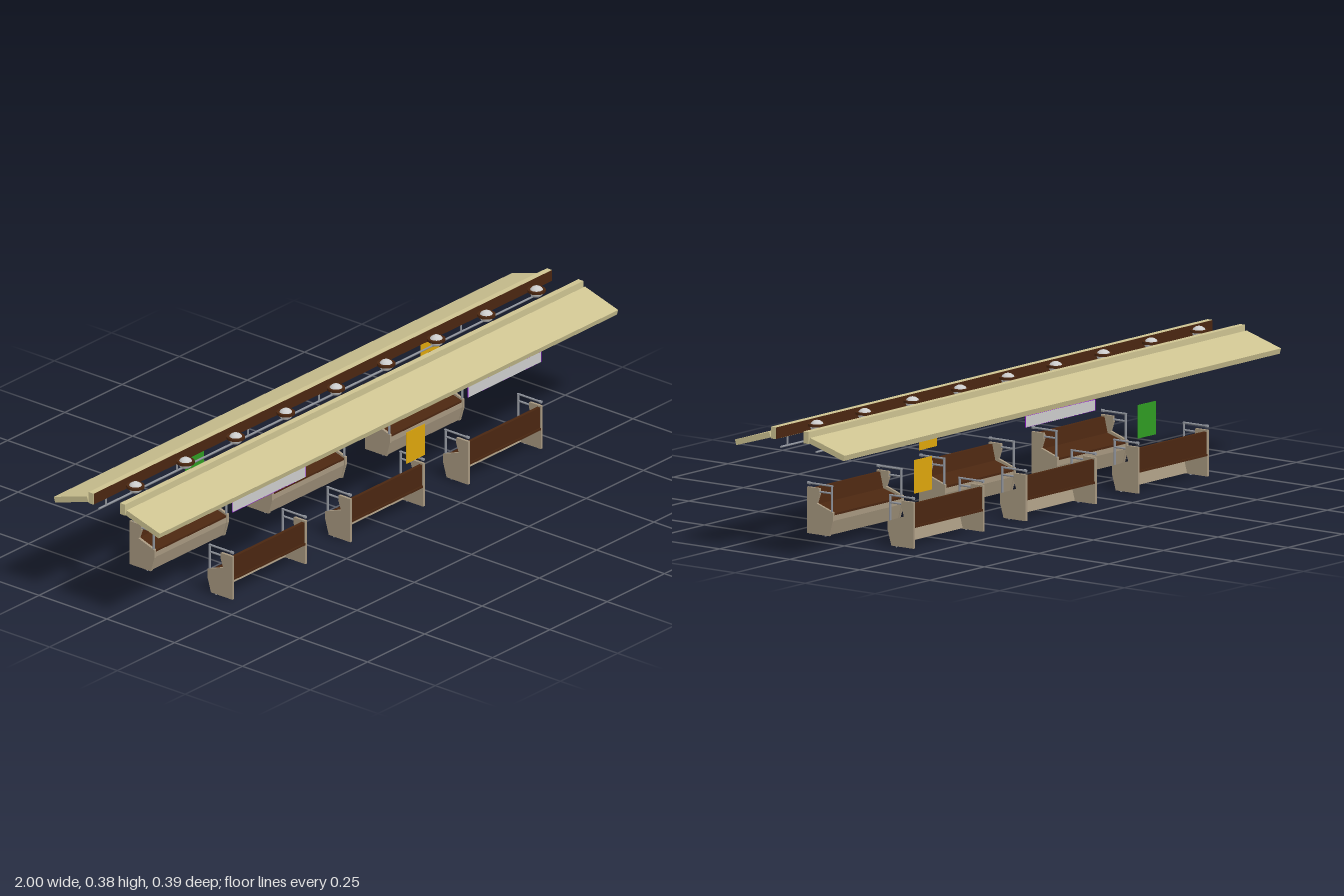
import * as THREE from 'three';

const mat = (color, side = THREE.FrontSide) => new THREE.MeshStandardMaterial({ color, side });
const M = {
  cream: mat(0xcdc391), tan: mat(0xa6977f), brown: mat(0x4a2610), grey: mat(0xcccccc),
  steel: mat(0x8e929a), green: mat(0x2f9a22), yellow: mat(0xdca50c), purple: mat(0x9418d8),
};

function add(parent, name, geo, material, x = 0, y = 0, z = 0) {
  const m = new THREE.Mesh(geo, material);
  m.name = name;
  m.position.set(x, y, z);
  parent.add(m);
  return m;
}
const box = (w, h, d) => new THREE.BoxGeometry(w, h, d);

// Extrudes a (z, y) profile along x, centred on x = 0
function profile(points, width) {
  const shape = new THREE.Shape(points.map(([z, y]) => new THREE.Vector2(z, y)));
  const g = new THREE.ExtrudeGeometry(shape, { depth: width, bevelEnabled: false });
  return g.translate(0, 0, -width / 2).rotateY(-Math.PI / 2);
}

// Round bar between two points
function bar(parent, name, a, b, r) {
  const p = new THREE.Vector3(...a), q = new THREE.Vector3(...b);
  const dir = q.clone().sub(p);
  const m = add(parent, name, new THREE.CylinderGeometry(r, r, dir.length(), 12), M.steel);
  m.position.copy(p).add(q).multiplyScalar(0.5);
  m.quaternion.setFromUnitVectors(new THREE.Vector3(0, 1, 0), dir.normalize());
}

function bench() {
  const g = new THREE.Group();
  g.name = 'bench';
  const end = [[0.19, 0.003], [0.19, 0.136], [0.147, 0.136], [0.146, 0.12],
    [0.156, 0.092], [0.098, 0.072], [0.098, 0.047], [0.111, 0.003]];
  const seat = [[0.187, 0.066], [0.187, 0.131], [0.177, 0.131], [0.166, 0.086],
    [0.102, 0.068], [0.102, 0.058], [0.175, 0.066]];
  const skirt = [[0.101, 0.062], [0.101, 0.047], [0.113, 0.005], [0.118, 0.005], [0.106, 0.048], [0.106, 0.062]];
  add(g, 'seatAndBack', profile(seat, 0.31), M.brown);
  add(g, 'seatSkirt', profile(skirt, 0.31), M.tan);
  add(g, 'backEdgeStrip', box(0.31, 0.006, 0.004), M.brown, 0, 0.065, 0.1885);
  for (const s of [-1, 1]) {
    const x = s * 0.159;
    add(g, 'endPanel', profile(end, 0.008), M.tan, x);
    add(g, 'foot', new THREE.CylinderGeometry(0.003, 0.003, 0.004, 10), M.steel, x, 0.002, 0.127);
    // grab rail
    bar(g, 'railPost', [x, 0.07, 0.104], [x, 0.149, 0.104], 0.0035);
    bar(g, 'railTop', [x, 0.147, 0.101], [x, 0.147, 0.189], 0.003);
    bar(g, 'railFlange', [x, 0.147, 0.182], [x, 0.147, 0.19], 0.0045);
    bar(g, 'railBrace', [x, 0.126, 0.104], [x, 0.126, 0.15], 0.003);
  }
  return g;
}

// Narrow board above a bench, with a line and stops on its inner face (-z)
function routeBoard() {
  const g = new THREE.Group();
  g.name = 'routeBoard';
  add(g, 'board', box(0.318, 0.032, 0.002), M.grey, 0, 0.287, 0.187);
  add(g, 'routeLine', box(0.29, 0.007, 0.001), M.purple, 0, 0.287, 0.1855);
  for (const y of [0.2715, 0.3025]) add(g, 'boardEdge', box(0.318, 0.0015, 0.003), M.purple, 0, y, 0.1865);
  for (const sx of [-1, 1]) add(g, 'boardEdge', box(0.0015, 0.032, 0.003), M.purple, sx * 0.159, 0.287, 0.1865);
  [[-0.143, M.purple], [-0.047, M.green], [0.048, M.yellow], [0.143, M.purple]].forEach(([x, m]) => {
    const stop = new THREE.CylinderGeometry(0.009, 0.009, 0.002, 16).rotateX(Math.PI / 2);
    add(g, 'routeStop', stop, m, x, 0.287, 0.1852);
  });
  return g;
}

// Ceiling panel, beam and handrail of one side
function ceilingSide() {
  const g = new THREE.Group();
  g.name = 'ceilingSide';
  add(g, 'ceilingPanel', box(2, 0.0165, 0.128), M.cream, 0, 0.331, 0.132).rotation.x = 0.29;
  add(g, 'ceilingBeam', box(2, 0.034, 0.018), M.cream, 0, 0.356, 0.058);
  add(g, 'beamInnerFace', box(1.998, 0.033, 0.001), M.brown, 0, 0.356, 0.0486);
  bar(g, 'handrail', [-0.96, 0.309, 0.063], [0.96, 0.309, 0.063], 0.003);
  for (let i = 0; i < 7; i++) {
    const x = -0.93 + i * 0.31;
    bar(g, 'handrailHanger', [x, 0.309, 0.063], [x, 0.341, 0.063], 0.0028);
  }
  return g;
}

export function createModel() {
  const model = new THREE.Group();
  model.name = 'carriageInterior';

  // Two facing sides, the back one turned half way round
  for (const front of [true, false]) {
    const side = new THREE.Group();
    side.name = front ? 'frontSide' : 'backSide';
    side.rotation.y = front ? 0 : Math.PI;
    side.add(ceilingSide());
    for (const x of [-0.514, 0, 0.514]) {
      const b = bench();
      b.position.x = x;
      side.add(b);
    }
    for (const x of front ? [-0.514, 0.514] : [0]) {
      const r = routeBoard();
      r.position.x = x;
      side.add(r);
    }
    model.add(side);
  }

  // Square window cards
  [[-0.392, -0.19, M.green], [0.122, 0.19, M.yellow], [0.634, -0.19, M.yellow]].forEach(([x, z, m]) =>
    add(model, 'windowCard', box(0.081, 0.096, 0.0015), m, x, 0.209, z));

  // Row of globe lamps with collars
  for (let i = 0; i < 9; i++) {
    const x = -0.875 + i * 0.21875;
    const globe = new THREE.SphereGeometry(0.02, 24, 16).scale(1, 0.85, 1);
    add(model, 'lampGlobe', globe, M.grey, x, 0.364, 0);
    add(model, 'lampCollar', new THREE.CylinderGeometry(0.026, 0.026, 0.007, 28), M.brown, x, 0.3675, 0);
  }
  return model;
}
